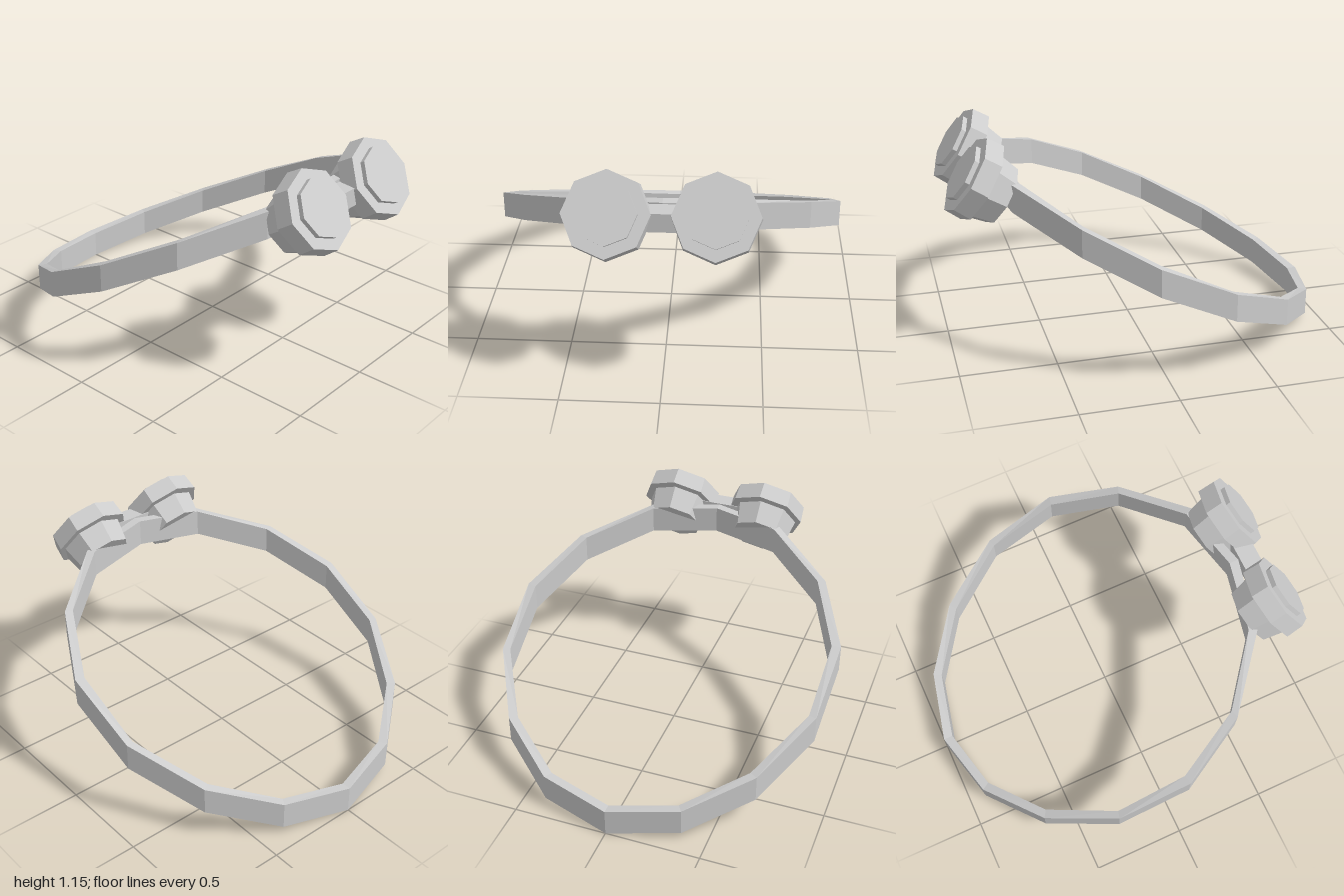
import * as THREE from 'three';

export function createModel() {
  const model = new THREE.Group();
  const grey = new THREE.MeshStandardMaterial({ color: 0xcccccc });

  function add(parent, name, geometry) {
    const flat = geometry.toNonIndexed();
    flat.computeVertexNormals();
    const mesh = new THREE.Mesh(flat, grey);
    mesh.name = name;
    parent.add(mesh);
    return mesh;
  }

  // Strap: rectangular sections [outer x, outer z, inner x, inner z, bottom y] from back to front
  const half = [
    [0, -1, 0, -0.95, 0],
    [0.37, -0.91, 0.345, -0.87, 0.043],
    [0.68, -0.67, 0.64, -0.645, 0.157],
    [0.88, -0.32, 0.84, -0.31, 0.322],
    [0.9, 0.07, 0.852, 0.06, 0.508],
    [0.72, 0.41, 0.68, 0.395, 0.674],
    [0.38, 0.68, 0.36, 0.64, 0.8],
    [0, 0.76, 0, 0.71, 0.832],
  ];
  const mirrored = half.slice(1, -1).reverse().map(([ox, oz, ix, iz, y]) => [-ox, oz, -ix, iz, y]);
  const sections = [...half, ...mirrored];
  const height = 0.145;
  const points = [];
  const faces = [];
  sections.forEach(([ox, oz, ix, iz, y], i) => {
    points.push(ox, y, oz, ox, y + height, oz, ix, y + height, iz, ix, y, iz);
    const a = i * 4;
    const b = ((i + 1) % sections.length) * 4;
    for (let k = 0; k < 4; k++) {
      const n = (k + 1) % 4;
      faces.push(a + k, a + n, b + k, a + n, b + n, b + k);
    }
  });
  const strap = new THREE.BufferGeometry();
  strap.setAttribute('position', new THREE.Float32BufferAttribute(points, 3));
  strap.setIndex(faces);
  add(model, 'strap', strap);

  // Octagonal section along the eyepiece axis, from z0 (back) to z1 (front)
  function section(backRadius, frontRadius, z0, z1) {
    const g = new THREE.CylinderGeometry(frontRadius, backRadius, z1 - z0, 8);
    return g.rotateX(Math.PI / 2).translate(0, 0, (z0 + z1) / 2);
  }

  // Eyepieces, tilted upwards
  for (const side of [-1, 1]) {
    const eyepiece = new THREE.Group();
    eyepiece.name = side > 0 ? 'leftEyepiece' : 'rightEyepiece';
    add(eyepiece, 'rim', section(0.215, 0.209, -0.095, 0));
    const cup = add(eyepiece, 'cup', section(0.157, 0.182, -0.218, -0.09));
    cup.position.y = -0.014;
    add(eyepiece, 'lens', section(0.15, 0.15, -0.01, 0.025));
    eyepiece.position.set(side * 0.255, 0.978, 0.887);
    eyepiece.rotation.x = -0.576;
    model.add(eyepiece);
  }

  // Bridge block between the eyepieces
  const bridge = add(model, 'bridge', new THREE.BoxGeometry(0.24, 0.096, 0.1));
  bridge.position.set(0, 0.928, 0.82);

  return model;
}
